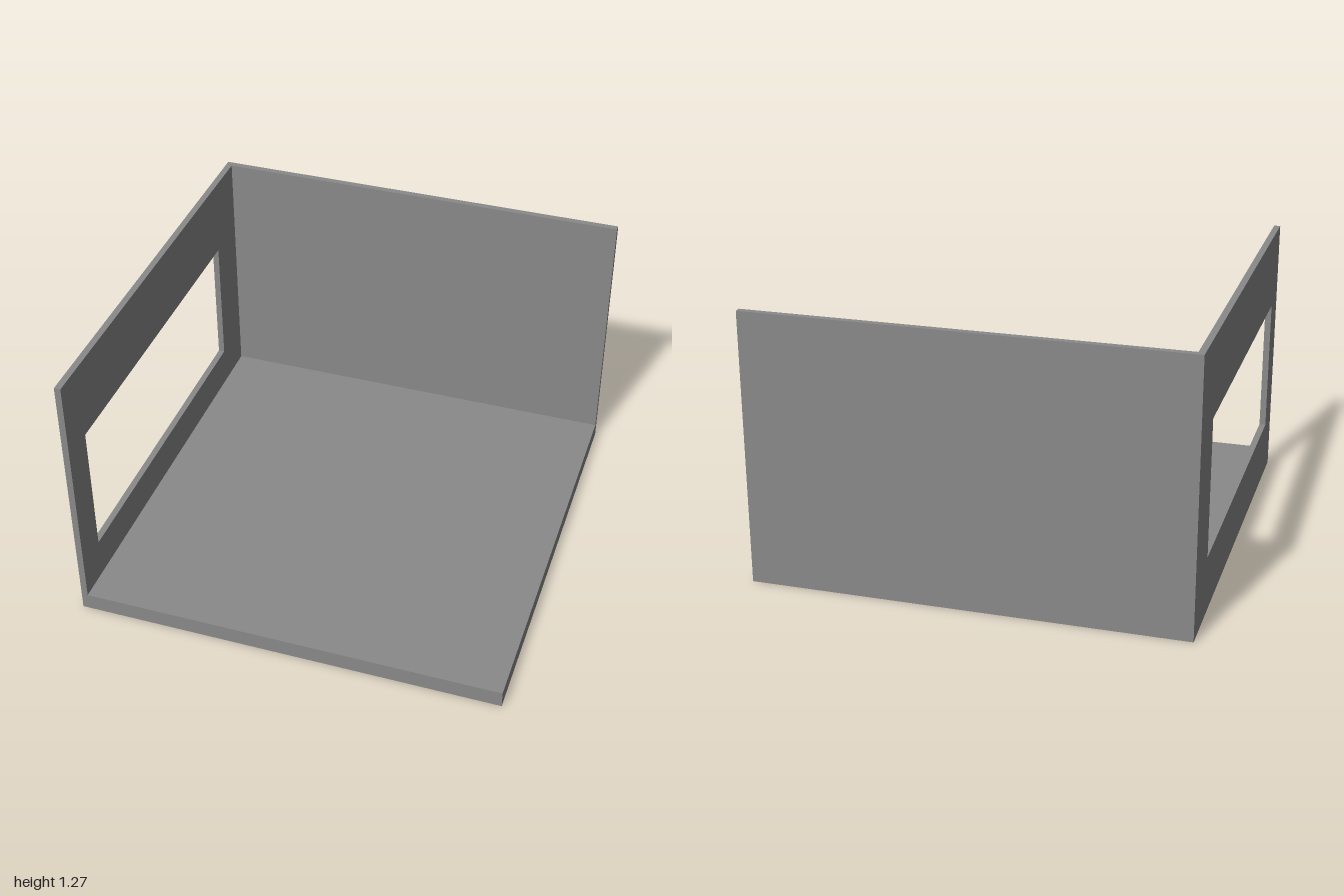
import * as THREE from 'three';

const HEIGHT = 1.27, FLOOR = 0.08, WALL = 0.03;

export function createModel() {
  const model = new THREE.Group();
  model.name = 'room';
  const grey = new THREE.MeshStandardMaterial({ color: 0x8a8a8a });
  grey.name = 'grey';

  const add = (name, geometry, x, y, z) => {
    const mesh = new THREE.Mesh(geometry, grey);
    mesh.name = name;
    mesh.position.set(x, y, z);
    model.add(mesh);
    return mesh;
  };

  // Thick floor slab
  add('floor', new THREE.BoxGeometry(2, FLOOR, 2), 0, FLOOR / 2, 0);

  // Solid back wall standing on the floor, beside the window wall
  const wallHeight = HEIGHT - FLOOR;
  add('backWall', new THREE.BoxGeometry(2 - WALL, wallHeight, WALL),
    WALL / 2, FLOOR + wallHeight / 2, -1 + WALL / 2);

  // Window wall: outline drawn with shape x = -z, then turned to face the side
  const rectangle = (target, x0, y0, x1, y1) => {
    target.moveTo(x0, y0);
    target.lineTo(x1, y0);
    target.lineTo(x1, y1);
    target.lineTo(x0, y1);
    target.closePath();
    return target;
  };
  const outline = rectangle(new THREE.Shape(), -1, FLOOR, 1, HEIGHT);
  outline.holes.push(rectangle(new THREE.Path(), -0.84, 0.27, 0.74, 0.905));
  const windowWall = new THREE.ExtrudeGeometry(outline, { depth: WALL, bevelEnabled: false });
  windowWall.rotateY(Math.PI / 2);
  add('windowWall', windowWall, -1, 0, 0);

  return model;
}
